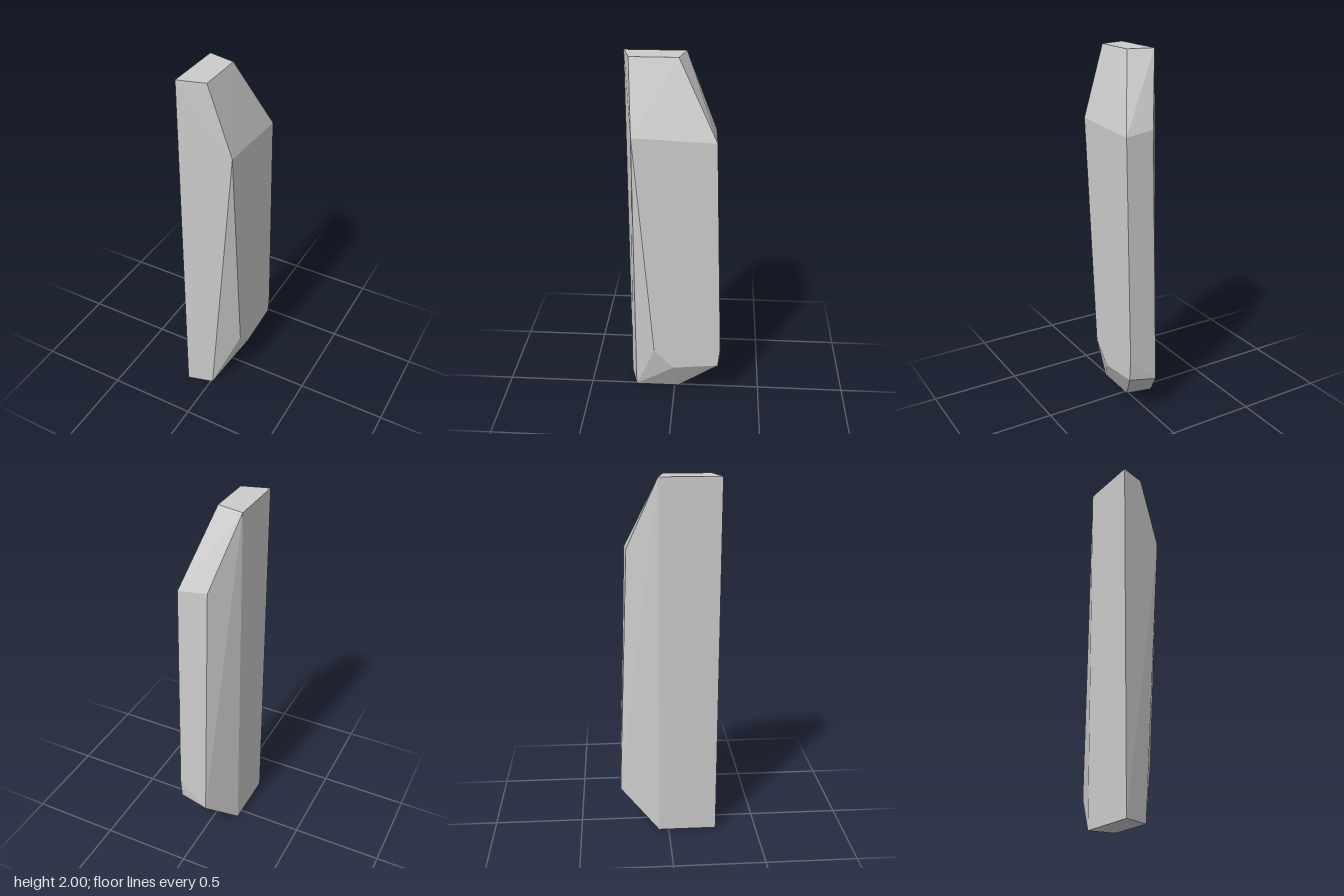
import * as THREE from 'three';
import { ConvexGeometry } from 'three/addons/geometries/ConvexGeometry.js';

export function createModel() {
  const group = new THREE.Group();
  group.name = 'stoneShard';
  const v = (x, y, z) => new THREE.Vector3(x, y, z);

  // Matching flat caps at the foot and the tip
  const caps = [0, 2].flatMap((y) => [
    v(-0.135, y, 0.27), v(0.01, y, 0.23), v(0.01, y, -0.022), v(-0.135, y, -0.055),
  ]);

  // Outline of the broad flat side
  const side = [
    [1.62, 0.214], [1.6, -0.225], [0.36, -0.268], [0.245, -0.257], [0.218, 0], [0.33, 0.11],
  ].map(([y, z]) => v(0.134, y, z));

  // Ridge along the back
  const ridge = [v(-0.028, 1.62, -0.217), v(-0.028, 0.215, -0.271)];

  // All chipped facets are the convex skin over these corners
  const shard = new THREE.Mesh(
    new ConvexGeometry([...caps, ...side, ...ridge]),
    new THREE.MeshStandardMaterial({ color: 0xcccccc, flatShading: true }),
  );
  shard.name = 'shard';
  group.add(shard);
  return group;
}
